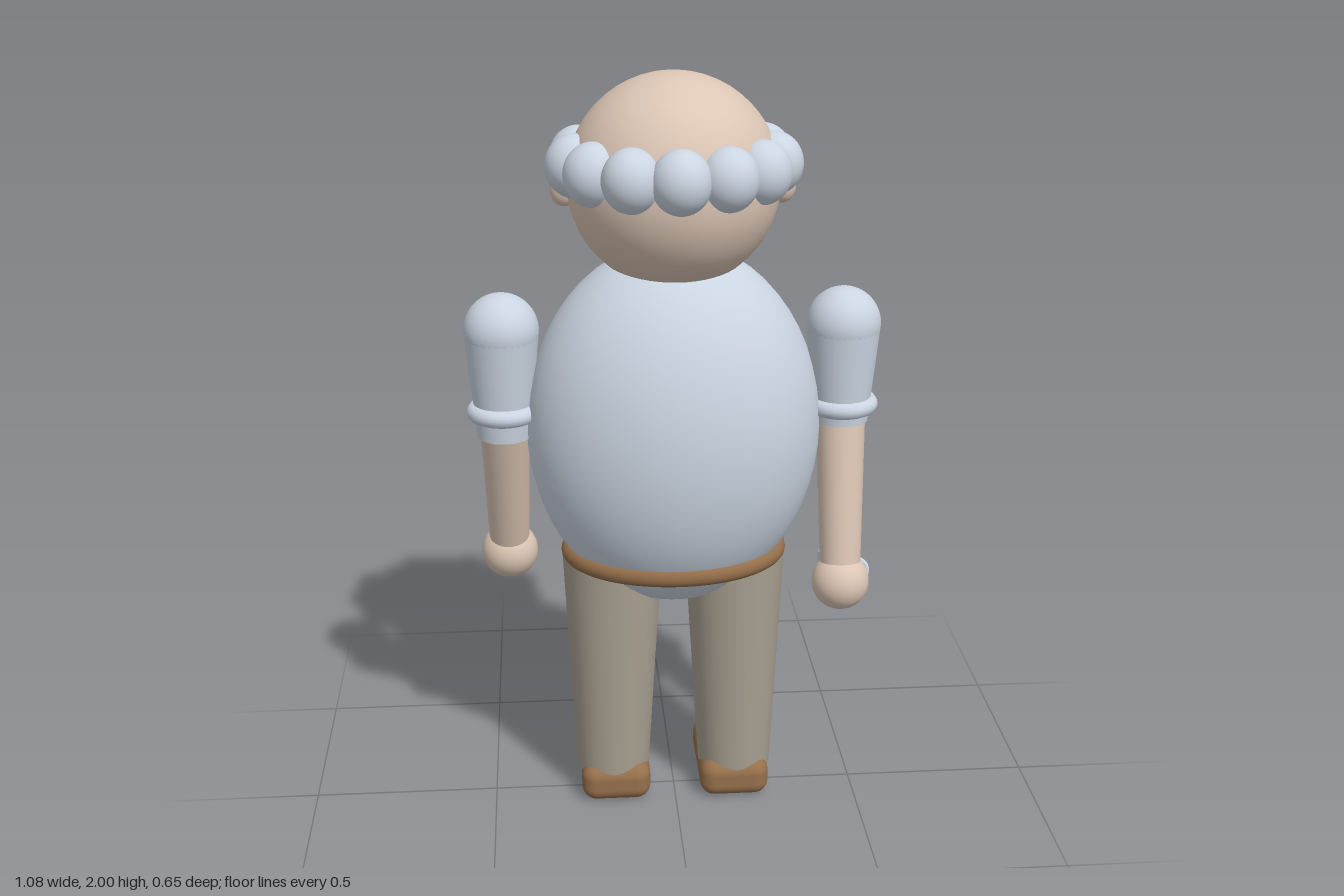
import * as THREE from 'three';
import { RoundedBoxGeometry } from 'three/addons/geometries/RoundedBoxGeometry.js';

const mat = (name, color) => Object.assign(new THREE.MeshStandardMaterial({ color }), { name });

export function createModel() {
  const skin = mat('skin', 0xdcc6b5);
  const white = mat('pale blue white', 0xcbd5e2);
  const taupe = mat('trouser taupe', 0xa8a091);
  const brown = mat('leather brown', 0x96704c);
  const red = mat('tie red', 0xc8434f);
  const grey = mat('light grey', 0xbfc3ca);
  const coffeeBrown = mat('coffee', 0x5a3a26);

  const model = new THREE.Group();
  model.name = 'standingMan';

  const add = (name, geo, material, pos = [0, 0, 0], rot = [0, 0, 0], scale = [1, 1, 1], parent = model) => {
    const m = new THREE.Mesh(geo, material);
    m.name = name;
    m.position.set(...pos);
    m.rotation.set(...rot);
    m.scale.set(...scale);
    parent.add(m);
    return m;
  };
  const ball = (name, material, pos, size, rot) =>
    add(name, new THREE.SphereGeometry(1, 40, 28), material, pos, rot, size);
  // Tapered limb from point a (radius ra) to point b (radius rb)
  const limb = (name, material, a, b, ra, rb) => {
    const A = new THREE.Vector3(...a), B = new THREE.Vector3(...b);
    const m = add(name, new THREE.CylinderGeometry(ra, rb, A.distanceTo(B), 32), material);
    m.position.copy(A).add(B).multiplyScalar(0.5);
    m.quaternion.setFromUnitVectors(new THREE.Vector3(0, 1, 0), A.clone().sub(B).normalize());
    return m;
  };

  // Body and belt
  ball('torso', white, [0, 1.08, 0], [0.385, 0.49, 0.295]);
  add('belt', new THREE.TorusGeometry(0.275, 0.027, 16, 64), brown,
    [0, 0.732, 0], [Math.PI / 2, 0, 0], [1, 0.75, 1]);

  // Head, hair ring, nose
  ball('head', skin, [0, 1.73, 0], [0.27, 0.27, 0.27]);
  for (let i = -4; i <= 4; i++) {
    const a = i * 27.5 * Math.PI / 180;
    ball('hairTuft', white, [0.25 * Math.sin(a), 1.775, 0.25 * Math.cos(a)], [0.075, 0.08, 0.075]);
  }
  ball('nose', skin, [0, 1.705, -0.279], [0.034, 0.032, 0.034]);
  add('mouth', new THREE.CapsuleGeometry(0.006, 0.05, 4, 10), taupe, [0, 1.622, -0.246], [0, 0, Math.PI / 2]);
  add('glassesBridge', new THREE.CylinderGeometry(0.009, 0.009, 0.07, 12), brown,
    [0, 1.758, -0.274], [0, 0, Math.PI / 2]);

  for (const s of [-1, 1]) {
    const side = s > 0 ? 'left' : 'right';
    // Face details
    ball(side + 'Ear', skin, [s * 0.275, 1.713, 0], [0.035, 0.045, 0.03]);
    ball(side + 'Eyebrow', white, [s * 0.095, 1.83, -0.242], [0.036, 0.011, 0.012], [0, s * -0.3, s * -0.22]);
    ball(side + 'Moustache', white, [s * 0.035, 1.664, -0.266], [0.05, 0.021, 0.022], [0, s * -0.2, s * -0.2]);
    add(side + 'GlassesRim', new THREE.TorusGeometry(0.053, 0.0125, 14, 40), brown, [s * 0.103, 1.755, -0.274]);
    add(side + 'CollarFlap', new RoundedBoxGeometry(0.085, 0.02, 0.05, 3, 0.008), white,
      [s * 0.055, 1.508, -0.168], [-0.5, s * -0.25, s * -0.25]);

    // Legs and shoes
    limb(side + 'Leg', taupe, [s * 0.165, 0.73, 0], [s * 0.17, 0.07, 0], 0.135, 0.1);
    add(side + 'Shoe', new RoundedBoxGeometry(0.19, 0.108, 0.305, 6, 0.04), brown, [s * 0.165, 0.054, -0.047]);

    // Arms: rounded shoulder, short sleeve, cuff, swinging forearm and hand
    const x = s * 0.443;
    const hand = s > 0 ? [x, 0.652, 0.085] : [x, 0.668, -0.155];
    const sleeveEnd = [x, s > 0 ? 1.085 : 1.06, s > 0 ? 0.004 : -0.008];
    ball(side + 'Shoulder', white, [x, 1.348, 0], [0.097, 0.097, 0.097]);
    limb(side + 'Sleeve', white, [x, 1.348, 0], sleeveEnd, 0.097, 0.071);
    add(side + 'Cuff', new THREE.TorusGeometry(0.074, 0.023, 14, 40), white,
      [x, 1.13, 0], [Math.PI / 2, 0, 0]);
    limb(side + 'Forearm', skin, [x, 1.13, s > 0 ? -0.004 : -0.01], hand, 0.066, 0.053);
    ball(side + 'Hand', skin, hand, [0.077, 0.077, 0.077]);
  }

  // Necktie: knot and waisted blade resting on the belly
  add('tieKnot', new RoundedBoxGeometry(0.06, 0.05, 0.04, 4, 0.014), red, [0, 1.483, -0.192], [0.2, 0, 0]);
  const blade = new THREE.Shape();
  blade.moveTo(-0.042, 0.185);
  blade.lineTo(0.042, 0.185);
  blade.quadraticCurveTo(0.026, 0.02, 0.044, -0.185);
  blade.lineTo(-0.044, -0.185);
  blade.quadraticCurveTo(-0.026, 0.02, -0.042, 0.185);
  const bladeGeo = new THREE.ExtrudeGeometry(blade, {
    depth: 0.012, bevelSize: 0.004, bevelThickness: 0.004, bevelSegments: 2, curveSegments: 10,
  }).translate(0, 0, -0.006);
  add('tieBlade', bladeGeo, red, [0.004, 1.22, -0.279], [0.18, 0, 0]);

  // Breast pocket with three pens
  add('breastPocket', new RoundedBoxGeometry(0.098, 0.12, 0.02, 2, 0.004), grey, [-0.168, 1.295, -0.241]);
  [grey, red, grey].forEach((m, i) =>
    add('pen', new THREE.CylinderGeometry(0.009, 0.009, 0.11, 12), m, [-0.192 + i * 0.026, 1.345, -0.25]));

  // Coffee mug beside the left hand, with an outward handle
  const mug = new THREE.Group();
  mug.name = 'mug';
  mug.position.set(0.449, 0.637, -0.008);
  mug.rotation.x = -0.19;
  model.add(mug);
  const profile = [[0, -0.057], [0.05, -0.057], [0.053, -0.052], [0.053, 0.057], [0.046, 0.057], [0.046, 0.03]]
    .map(p => new THREE.Vector2(...p));
  const cupMat = white.clone();
  cupMat.name = 'mug white';
  cupMat.side = THREE.DoubleSide;
  add('mugCup', new THREE.LatheGeometry(profile, 36), cupMat, undefined, undefined, undefined, mug);
  add('coffee', new THREE.CylinderGeometry(0.046, 0.046, 0.006, 32), coffeeBrown,
    [0, 0.046, 0], undefined, undefined, mug);
  add('mugHandle', new THREE.TorusGeometry(0.031, 0.008, 10, 28), cupMat,
    [0.052, 0, 0], undefined, undefined, mug);

  return model;
}
